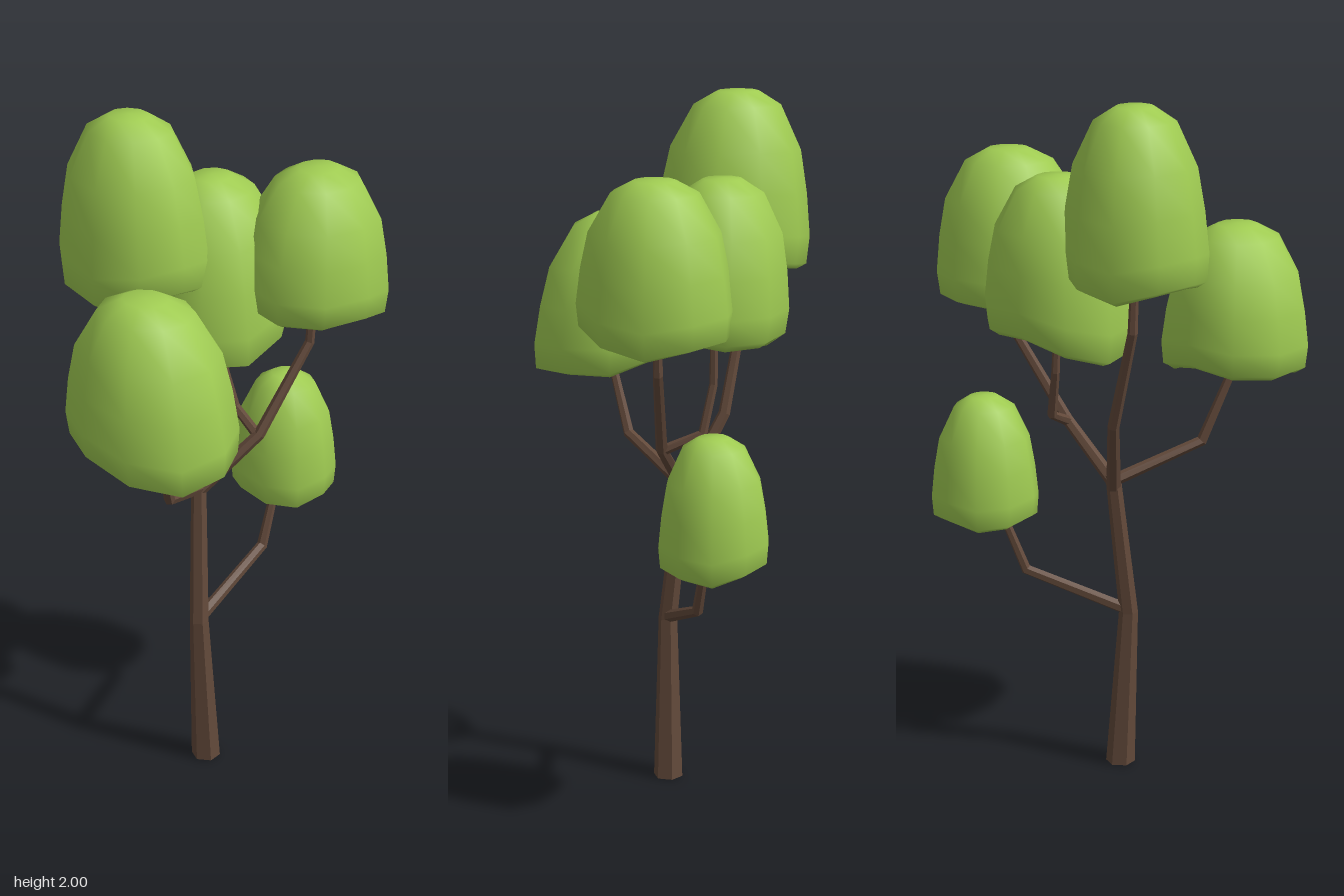
import * as THREE from 'three';
import { mergeVertices } from 'three/addons/utils/BufferGeometryUtils.js';

const bark = new THREE.MeshStandardMaterial({ name: 'bark brown', color: 0x62493a, flatShading: true });
const leaf = new THREE.MeshStandardMaterial({ name: 'leaf green', color: 0xa0cc52 });

// Tapered limb swept through [x, y, z, radius] stations, closed at both ends
function limb(name, stations, sides = 6) {
  const pts = stations.map(([x, y, z]) => new THREE.Vector3(x, y, z));
  const up = new THREE.Vector3(0, 1, 0);
  const pos = [], index = [];
  pts.forEach((p, i) => {
    const before = pts[Math.max(i - 1, 0)], after = pts[Math.min(i + 1, pts.length - 1)];
    const dir = i === 0 && p.y === 0 ? up : after.clone().sub(before).normalize();
    const q = new THREE.Quaternion().setFromUnitVectors(up, dir);
    for (let s = 0; s < sides; s++) {
      const a = (s / sides) * Math.PI * 2, r = stations[i][3];
      const v = new THREE.Vector3(Math.sin(a) * r, 0, Math.cos(a) * r).applyQuaternion(q).add(p);
      pos.push(v.x, v.y, v.z);
    }
  });
  const last = (pts.length - 1) * sides;
  for (let i = 0; i < last; i += sides) {
    for (let s = 0; s < sides; s++) {
      const a = i + s, b = i + (s + 1) % sides;
      index.push(a, b, b + sides, a, b + sides, a + sides);
    }
  }
  for (let s = 1; s < sides - 1; s++) {
    index.push(0, s + 1, s, last, last + s, last + s + 1);
  }
  const geo = new THREE.BufferGeometry();
  geo.setAttribute('position', new THREE.Float32BufferAttribute(pos, 3));
  geo.setIndex(index);
  geo.computeVertexNormals();
  const mesh = new THREE.Mesh(geo, bark);
  mesh.name = name;
  return mesh;
}

// Bell-shaped crown profile [radius, height], from the hollow underside to the top
const crownProfile = [
  [0, 0.13], [0.45, 0.1], [0.84, 0.04], [0.97, 0.07], [1, 0.22], [0.94, 0.45],
  [0.84, 0.68], [0.56, 0.92], [0.27, 0.995], [0, 1],
].map(([r, h]) => new THREE.Vector2(r, h));

// Leaf crown: rim centre and radii in plan, height range, apex position, tilt of the rim
function crown(name, { x, z, rx, rz, y0, y1, apex, tilt, turn }) {
  let geo = new THREE.LatheGeometry(crownProfile, 10);
  geo.deleteAttribute('uv');
  geo.deleteAttribute('normal');
  geo = mergeVertices(geo, 1e-4);
  geo.rotateY(turn);
  const p = geo.attributes.position;
  for (let i = 0; i < p.count; i++) {
    const px = p.getX(i), h = p.getY(i), pz = p.getZ(i);
    const r = Math.hypot(px, pz), a = Math.atan2(pz, px), low = 1 - h;
    // uneven rim, fading out towards the top
    const wave = r > 0.3 ? Math.sin(3 * a + turn * 7) * 0.035 * low : 0;
    p.setXYZ(i,
      THREE.MathUtils.lerp(x, apex[0], h) + px * rx,
      y0 + (h + wave) * (y1 - y0) + low * (px * tilt[0] + pz * tilt[1]),
      THREE.MathUtils.lerp(z, apex[1], h) + pz * rz);
  }
  geo.computeVertexNormals();
  const mesh = new THREE.Mesh(geo, leaf);
  mesh.name = name;
  return mesh;
}

export function createModel() {
  const tree = new THREE.Group();
  tree.name = 'tree';

  // Trunk and branches
  tree.add(
    limb('trunk', [[0.047, 0, 0.006, 0.043], [0.04, 0.48, 0.03, 0.028], [0.004, 0.91, -0.012, 0.022]]),
    limb('topBranch', [[0.006, 0.87, -0.01, 0.021], [-0.12, 1.09, 0.002, 0.017],
      [-0.195, 1.38, 0.062, 0.014], [-0.19, 1.62, 0.07, 0.011]]),
    limb('frontBranch', [[0.005, 0.89, -0.015, 0.018], [0.1, 0.99, 0.235, 0.016], [0.14, 1.27, 0.35, 0.011]]),
    limb('backBranch', [[0.004, 0.88, -0.005, 0.02], [0.11, 1.04, -0.155, 0.017],
      [0.165, 1.29, -0.315, 0.014], [0.17, 1.5, -0.33, 0.011]]),
    limb('middleBranch', [[0.1, 1.04, -0.155, 0.015], [0, 1.085, -0.185, 0.014],
      [-0.035, 1.22, -0.17, 0.012], [-0.04, 1.42, -0.16, 0.01]]),
    limb('lowBranch', [[0.04, 0.485, 0.03, 0.018], [0.04, 0.6, -0.27, 0.016], [0.035, 0.84, -0.365, 0.011]]),
  );

  // Leaf crowns
  tree.add(
    crown('topCrown', { x: -0.16, z: 0.067, rx: 0.22, rz: 0.2, y0: 1.495, y1: 2,
      apex: [-0.175, 0.065], tilt: [0.01, 0], turn: 0.1 }),
    crown('frontCrown', { x: 0.122, z: 0.325, rx: 0.243, rz: 0.217, y0: 1.18, y1: 1.63,
      apex: [0.1, 0.33], tilt: [-0.045, -0.01], turn: 0.35 }),
    crown('backCrown', { x: 0.17, z: -0.308, rx: 0.212, rz: 0.223, y0: 1.385, y1: 1.82,
      apex: [0.175, -0.325], tilt: [0, 0.03], turn: 0.2 }),
    crown('middleCrown', { x: -0.037, z: -0.155, rx: 0.203, rz: 0.217, y0: 1.3, y1: 1.79,
      apex: [-0.065, -0.155], tilt: [0, -0.05], turn: 0.5 }),
    crown('lowCrown', { x: 0.028, z: -0.385, rx: 0.156, rz: 0.156, y0: 0.745, y1: 1.13,
      apex: [0.03, -0.385], tilt: [-0.01, 0], turn: 0.3 }),
  );
  return tree;
}
